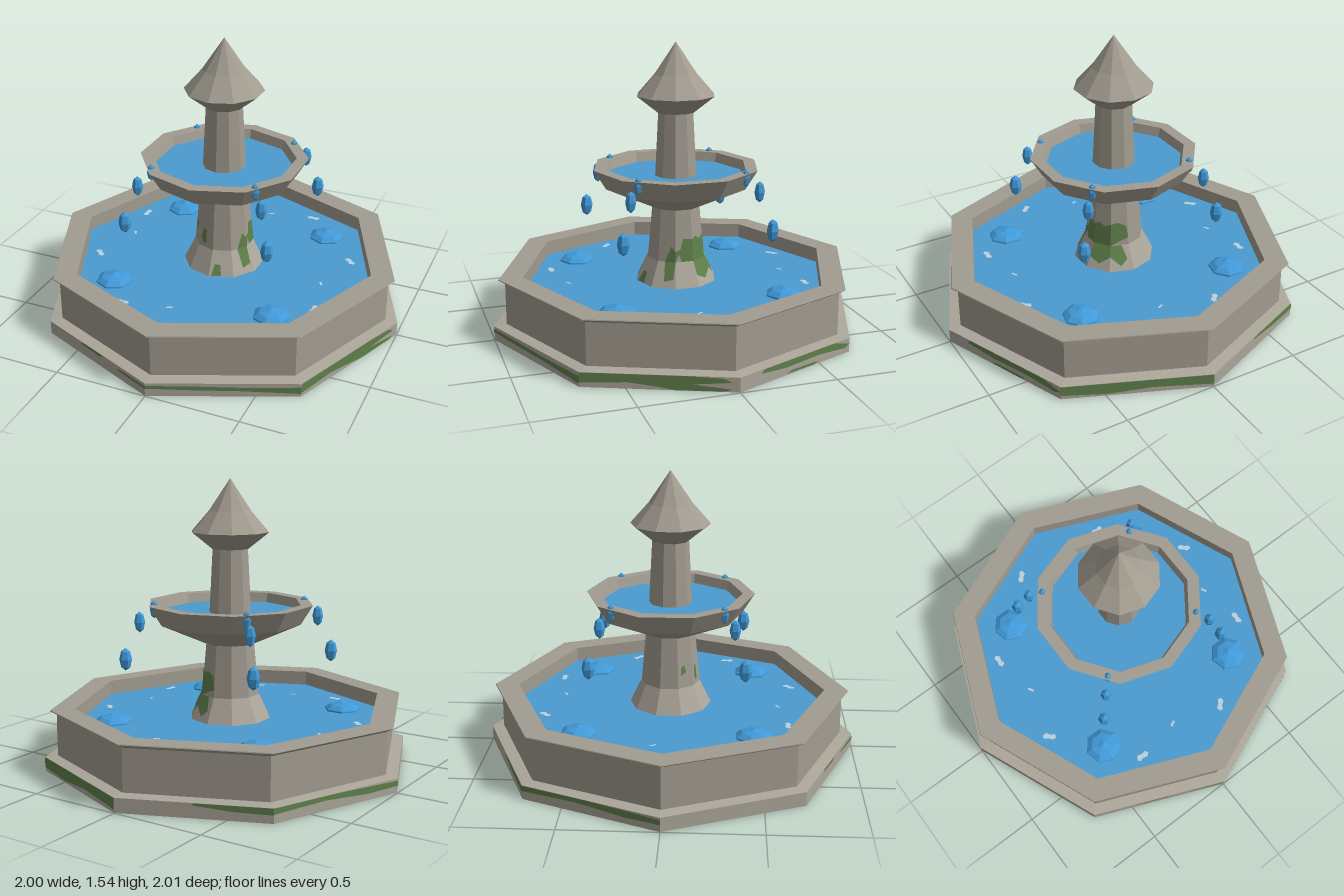
import * as THREE from 'three';

const mat = (name, color) => {
  const m = new THREE.MeshStandardMaterial({ color });
  m.name = name;
  return m;
};

export function createModel() {
  const stone = mat('stone', 0xa29c90);
  const paleStone = mat('paleStone', 0xaca69a);
  const water = mat('water', 0x4a9ad0);
  const drop = mat('drop', 0x409ad8);
  const foam = mat('foam', 0xb9d0dc);
  const moss = mat('moss', 0x5f804a);
  const WATER_Y = 0.25;

  const root = new THREE.Group();
  root.name = 'fountain';

  const add = (name, geo, material, parent = root) => {
    const flat = geo.index ? geo.toNonIndexed() : geo;
    flat.computeVertexNormals();
    const mesh = new THREE.Mesh(flat, material);
    mesh.name = name;
    parent.add(mesh);
    return mesh;
  };

  // Faceted solid of revolution; profile listed upwards along the outside
  const turned = (name, sides, profile, material, parent) => add(name,
    new THREE.LatheGeometry(profile.map(p => new THREE.Vector2(...p)), sides), material, parent);

  const disc = (name, r, sides, y, material) => add(name,
    new THREE.CircleGeometry(r, sides, Math.PI / 2).rotateX(-Math.PI / 2).translate(0, y, 0), material);

  // Lower basin
  turned('plinth', 8, [[0, 0], [1, 0], [1, 0.075], [0.935, 0.082]], paleStone);
  turned('basinWall', 8, [[0.935, 0.08], [0.935, 0.305], [0.97, 0.325], [0.968, 0.33],
    [0.84, 0.33], [0.84, 0.22]], stone);
  disc('basinWater', 0.842, 8, WATER_Y, water);

  // Pedestal, bowl and spire
  turned('pedestalFoot', 10, [[0.225, 0.24], [0.158, 0.38]], paleStone);
  turned('pedestal', 10, [[0.158, 0.38], [0.132, 0.67]], stone);
  turned('bowl', 10, [[0, 0.66], [0.14, 0.66], [0.385, 0.77], [0.45, 0.875],
    [0.385, 0.875], [0.365, 0.81]], stone);
  disc('bowlWater', 0.371, 10, 0.825, water);
  turned('upperColumn', 10, [[0.116, 0.81], [0.097, 1.17]], stone);
  turned('spireCap', 10, [[0, 1.165], [0.1, 1.165], [0.212, 1.255], [0.115, 1.365], [0, 1.535]], stone);

  // Four falling streams of drops, each ending in a splash
  const drops = [[0.29, 0.85, 0.023, 0.047], [0.345, 0.785, 0.029, 0.056], [0.4, 0.587, 0.034, 0.061]];
  for (const sx of [-1, 1]) for (const sz of [-1, 1]) {
    const stream = new THREE.Group();
    stream.name = 'stream';
    root.add(stream);
    for (const [d, y, r, h] of drops) {
      const geo = new THREE.SphereGeometry(1, 6, 4).rotateY(Math.PI / 6).scale(r, h, r);
      add('waterDrop', geo, drop, stream).position.set(sx * d, y, sz * d);
    }
    turned('splash', 7, [[0.1, -0.01], [0.098, 0.008], [0.068, 0.028], [0.03, 0.036], [0, 0.046]],
      drop, stream).position.set(sx * 0.45, WATER_Y, sz * 0.45);
  }

  // Foam flecks: three per quarter, laid flat on the water
  const blob = [[-1, 0.1], [-0.75, -0.7], [-0.1, -0.55], [0.5, -1], [1, -0.4], [0.8, 0.6], [0.1, 0.5], [-0.5, 1]];
  const flecks = [[-0.31, 0.63, 0.038, 0.02, 0.1], [-0.06, 0.585, 0.019, 0.009, 0.6], [0.225, 0.66, 0.038, 0.02, 0.95]];
  const blobShape = new THREE.Shape(blob.map(p => new THREE.Vector2(...p)));
  for (let q = 0; q < 4; q++) for (const [x, z, a, b, turn] of flecks) {
    add('foamFleck', new THREE.ShapeGeometry(blobShape).scale(a, b, 1).rotateX(-Math.PI / 2)
      .rotateY(turn).translate(x, WATER_Y + 0.003, z).rotateY(q * Math.PI / 2), foam);
  }

  // Moss: an outline in (u across, v up) fitted onto one side of a tapered prism
  const mossOn = (sides, [r0, y0, r1, y1], face, outline) => {
    const geo = new THREE.ShapeGeometry(new THREE.Shape(outline.map(p => new THREE.Vector2(...p))));
    const pos = geo.attributes.position;
    const step = Math.PI * 2 / sides, a = face * step, b = a + step;
    for (let i = 0; i < pos.count; i++) {
      const u = pos.getX(i), v = pos.getY(i);
      const r = r0 + (r1 - r0) * v + 0.003;
      pos.setXYZ(i, r * (Math.sin(a) * (1 - u) + Math.sin(b) * u), y0 + (y1 - y0) * v,
        r * (Math.cos(a) * (1 - u) + Math.cos(b) * u));
    }
    add('moss', geo, moss);
  };

  const plinthSide = [1, 0, 1, 0.075];
  const plinthMoss = [
    [7, [[0.72, 0.68], [0.85, 0.6], [1, 0.6], [1, 0.82], [0.75, 0.8]]],
    [7, [[0.35, 0.85], [0.55, 0.8], [0.58, 1], [0.36, 1]]],
    [0, [[0, 0.6], [0.3, 0.5], [0.6, 0.45], [1, 0.25], [1, 0.75], [0.6, 0.72], [0.3, 0.8], [0, 0.82]]],
    [1, [[0, 0.3], [0.3, 0.45], [0.5, 0.2], [0.6, 0.02], [0.9, 0.05], [0.95, 0.2], [0.7, 0.45],
      [0.95, 0.65], [0.9, 0.9], [0.7, 1], [0, 1]]],
    [2, [[0.18, 0.75], [0.4, 0.55], [0.7, 0.6], [0.95, 0.4], [1, 0.6], [0.85, 1], [0.2, 1]]],
    [2, [[0.4, 0.1], [0.65, 0.05], [0.7, 0.2], [0.45, 0.25]]],
    [3, [[0, 0.3], [0.3, 0.15], [0.6, 0.4], [1, 0.25], [1, 1], [0, 1]]],
    [4, [[0.5, 0.85], [0.75, 0.6], [1, 0.55], [1, 1], [0.5, 1]]],
    [5, [[0, 0.6], [0.4, 0.7], [0.75, 0.45], [1, 0.5], [1, 0.85], [0.5, 1], [0, 1]]],
  ];
  for (const [face, outline] of plinthMoss) mossOn(8, plinthSide, face, outline);

  const pedestalSide = [0.158, 0.38, 0.132, 0.66];
  const footSide = [0.225, 0.24, 0.158, 0.38];
  const pedestalMoss = [
    [9, [[0.15, 0.2], [0.3, 0.08], [0.5, 0.1], [0.5, 0.35], [0.3, 0.4]]],
    [8, [[0.2, 0.25], [0.55, 0.3], [0.45, 0.45], [0.2, 0.4]]],
    [1, [[0.4, 0], [1, 0], [1, 0.2], [0.75, 0.3]]],
    [2, [[0, 0], [0.2, 0.15], [0.35, 0], [1, 0], [1, 0.42], [0.45, 0.45], [0.3, 0.25], [0, 0.2]]],
    [3, [[0, 0], [1, 0], [1, 0.45], [0.6, 0.4], [0.3, 0.47], [0, 0.42]]],
    [4, [[0, 0], [0.6, 0.1], [1, 0.15], [0.9, 0.4], [0.4, 0.48], [0, 0.45]]],
  ];
  for (const [face, outline] of pedestalMoss) mossOn(10, pedestalSide, face, outline);
  const footMoss = [
    [0, [[0.1, 0.1], [0.5, 0.1], [0.45, 0.5], [0.2, 0.5]]],
    [1, [[0.5, 0.3], [0.9, 0.4], [1, 1], [0.4, 1]]],
    [3, [[0, 0.5], [0.5, 0.3], [1, 0.6], [1, 1], [0, 1]]],
    [4, [[0, 0.6], [0.5, 0.25], [0.8, 0.5], [0.6, 1], [0, 1]]],
  ];
  for (const [face, outline] of footMoss) mossOn(10, footSide, face, outline);

  // Moss creeping under the plinth near its corners
  const creep = new THREE.Shape([[-0.025, 0.95], [-0.02, 0.88], [-0.06, 0.8], [-0.03, 0.78], [0.03, 0.87], [0.025, 0.95]]
    .map(p => new THREE.Vector2(...p)));
  for (let i = 0; i < 8; i++) {
    add('underMoss', new THREE.ShapeGeometry(creep).rotateX(Math.PI / 2).translate(0, -0.002, 0)
      .rotateY(i * Math.PI / 4), moss);
  }

  return root;
}
